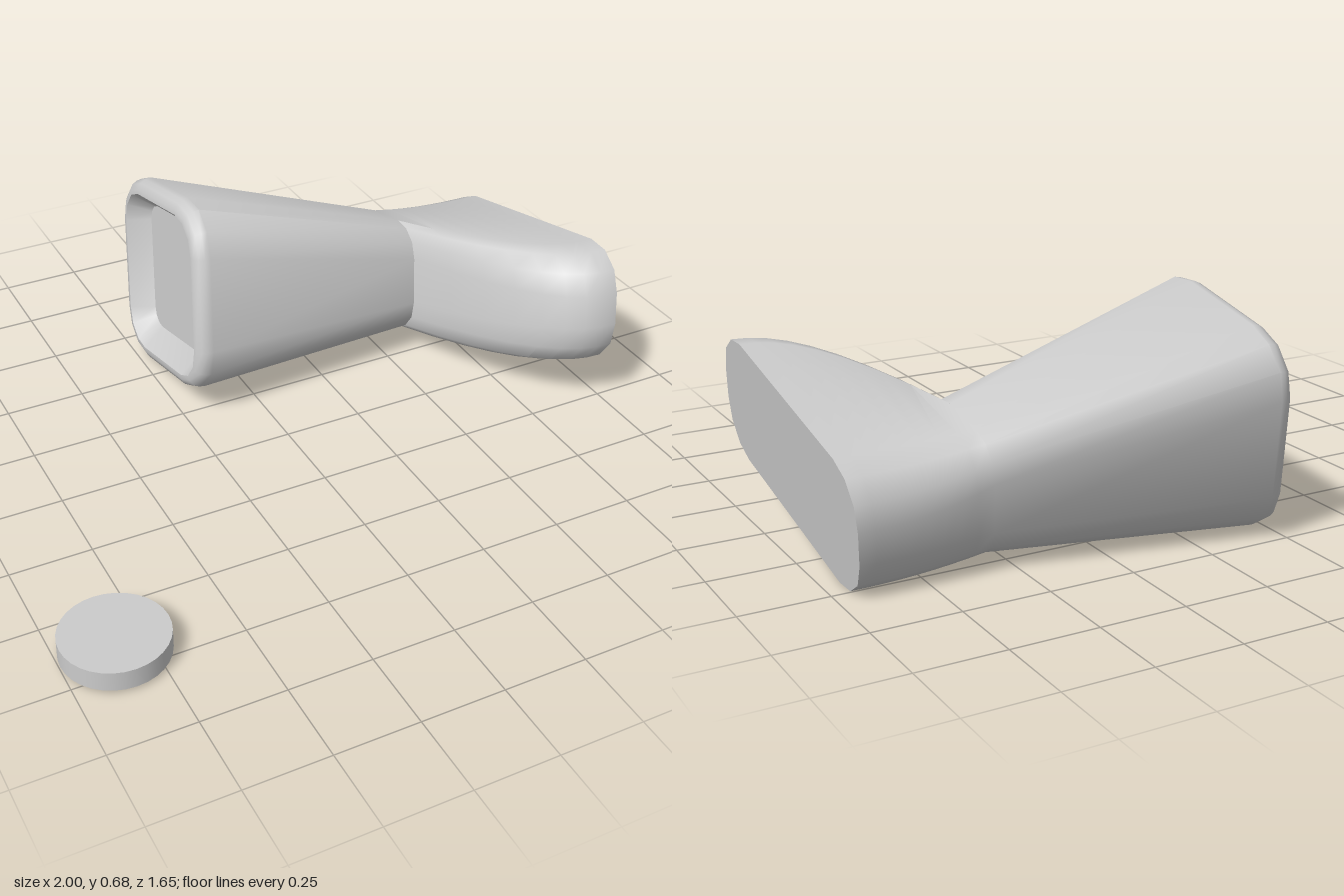
import * as THREE from 'three';
import { toCreasedNormals } from 'three/addons/utils/BufferGeometryUtils.js';

const CORNER_STEPS = 3;
const grey = () => new THREE.MeshStandardMaterial({ color: 0xcccccc, side: THREE.DoubleSide });

// Rolled rounded rectangle in a slightly leaning plane x = s.x + s.lean * y.
// a, b: half lengths of the straight edges; r: corner radius.
function ring(s) {
  const points = [];
  const c = Math.cos(s.roll), n = Math.sin(s.roll);
  [[1, 1], [-1, 1], [-1, -1], [1, -1]].forEach(([su, sv], q) => {
    for (let k = 0; k <= CORNER_STEPS; k++) {
      const t = (q + k / CORNER_STEPS) * Math.PI / 2;
      const u = su * s.a + s.r * Math.cos(t);
      const v = sv * s.b + s.r * Math.sin(t);
      const z = s.z + u * c - v * n;
      const y = s.y + u * n + v * c;
      points.push(new THREE.Vector3(s.x + s.lean * y, y, z));
    }
  });
  return points;
}

// Skin through the sections, closed by a fan at each end
function loft(sections) {
  const rings = sections.map(ring);
  const pos = [];
  const tri = (...p) => p.forEach((v) => pos.push(v.x, v.y, v.z));
  const centre = (pts) => pts.reduce((sum, p) => sum.add(p), new THREE.Vector3()).divideScalar(pts.length);
  const first = rings[0], last = rings[rings.length - 1];
  const c0 = centre(first), c1 = centre(last);
  const count = first.length;
  for (let j = 0; j < count; j++) {
    const k = (j + 1) % count;
    tri(c0, first[j], first[k]);
    for (let i = 0; i < rings.length - 1; i++) {
      const p = rings[i], q = rings[i + 1];
      tri(p[j], q[j], q[k]);
      tri(p[j], q[k], p[k]);
    }
    tri(last[j], c1, last[k]);
  }
  const geometry = new THREE.BufferGeometry();
  geometry.setAttribute('position', new THREE.Float32BufferAttribute(pos, 3));
  return toCreasedNormals(geometry, 0.7);
}

export function createModel() {
  const group = new THREE.Group();

  const mouth = { x: -0.2, lean: 0.09, y: 0.35, z: -0.4925, a: 0.15, b: 0.15, r: 0.157, roll: 0.215 };
  const neck = { x: 0.565, lean: 0.09, y: 0.236, z: -0.427, a: 0.075, b: 0.075, r: 0.107, roll: 0.215 };
  const foot = { x: 0.947, lean: 0.1, y: 0.264, z: -0.148, a: 0.33, b: 0.05, r: 0.14, roll: 0.225 };

  // Recess floor, lip and rounded rim of the mouth: [x offset, inset]
  const sections = [
    [0.02, 0.1], [-0.047, 0.045], [-0.046, 0.03], [-0.035, 0.012], [-0.018, 0.003], [0, 0],
  ].map(([dx, inset]) => ({ ...mouth, x: mouth.x + dx, r: mouth.r - inset }));

  // Neck flaring quickly into the wide foot
  const steps = 8;
  for (let i = 0; i <= steps; i++) {
    const t = i / steps;
    const f = 1 - Math.pow(1 - t, 2.3);
    const s = {};
    for (const key in neck) s[key] = THREE.MathUtils.lerp(neck[key], foot[key], key === 'x' ? t : f);
    sections.push(s);
  }
  const body = new THREE.Mesh(loft(sections), grey());
  body.name = 'flaredBody';
  group.add(body);

  // Small separate cap, open underneath
  const cap = new THREE.Group();
  cap.name = 'roundCap';
  cap.position.set(-0.845, 0.015, 0.67);
  const wall = new THREE.Mesh(new THREE.CylinderGeometry(0.154, 0.154, 0.06, 32, 1, true), grey());
  wall.name = 'capWall';
  wall.position.y = 0.03;
  const top = new THREE.Mesh(new THREE.CircleGeometry(0.154, 32), grey());
  top.name = 'capTop';
  top.rotation.x = -Math.PI / 2;
  top.position.y = 0.06;
  cap.add(wall, top);
  group.add(cap);

  return group;
}
